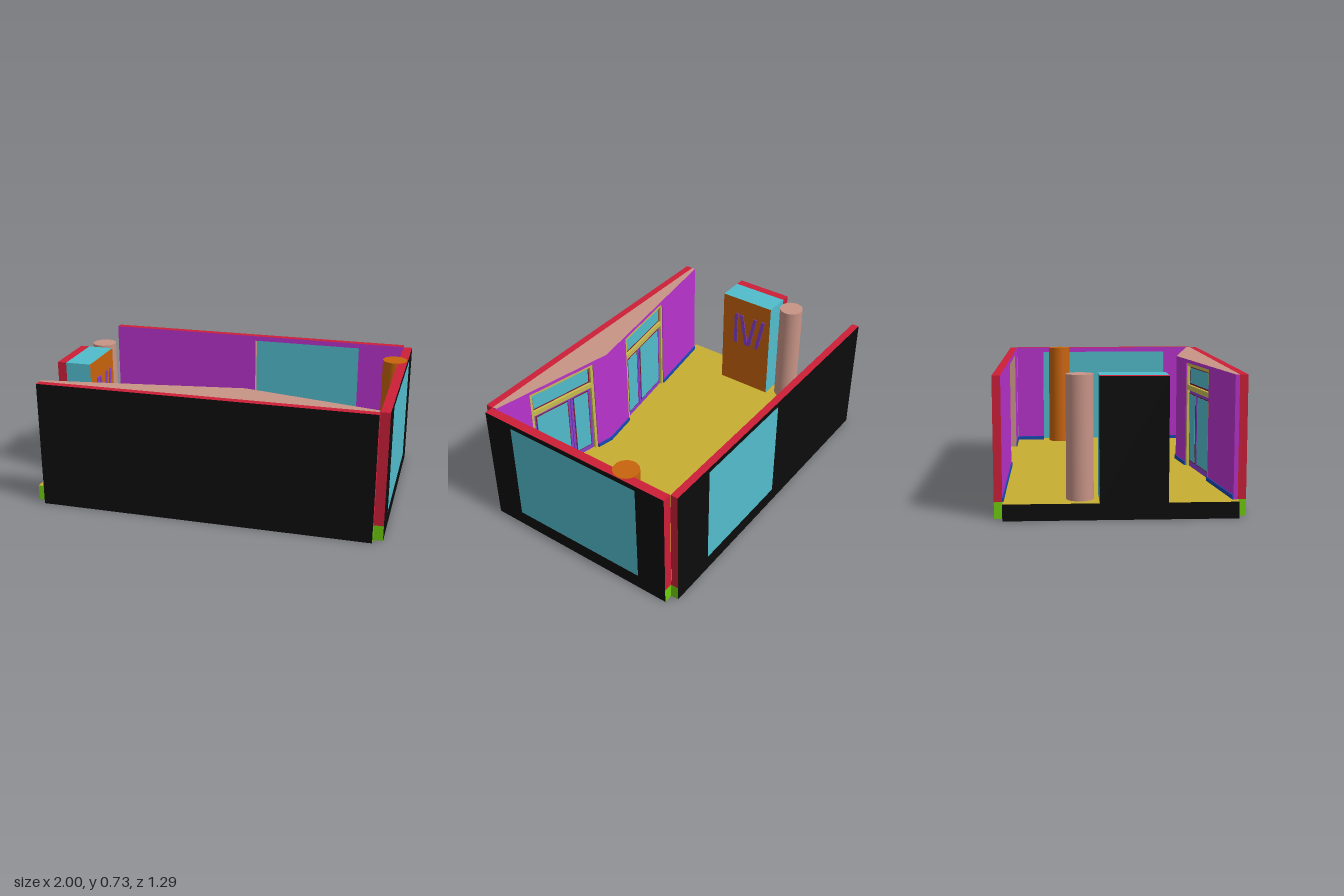
import * as THREE from 'three';

const mat = (color) => new THREE.MeshStandardMaterial({ color });
const M = {
  red: mat(0xcc1f38), black: mat(0x0c0c0c), green: mat(0x70cc0c), yellow: mat(0xc8ae32),
  cyan: mat(0x52bccc), pink: mat(0xc89486), purple: mat(0xb933cd), violet: mat(0x8840d0),
  orange: mat(0xc8640c), blue: mat(0x1848b0), olive: mat(0xc8bc50), maroon: mat(0x801c30),
};
const FLOOR = 0.087, TOP = 0.73, LINTEL = 0.70, DOOR_TOP = 0.71;

// Box given by its limits; m is one material or six (+x, -x, +y, -y, +z, -z)
function block(parent, name, x0, x1, y0, y1, z0, z1, m) {
  const mesh = new THREE.Mesh(new THREE.BoxGeometry(x1 - x0, y1 - y0, z1 - z0), m);
  mesh.position.set((x0 + x1) / 2, (y0 + y1) / 2, (z0 + z1) / 2);
  mesh.name = name;
  parent.add(mesh);
  return mesh;
}

// Wall on a base strip. Local x runs along it, the outer face is at local z = 0 facing +z.
function wall(name, { half, t, under, from = -half, to = half, window: win, skirting = true }) {
  const g = new THREE.Group();
  g.name = name;
  block(g, 'base', -half, half, 0, FLOOR, -t, 0,
    [M.green, M.green, M.yellow, under, M.black, M.green]);
  const piece = (a, b, y0, endA, endB) => block(g, 'wallPanel', a, b, y0, TOP, -t, 0,
    [endB, endA, M.red, M.pink, M.black, M.purple]);
  const skirt = (a, b) => skirting &&
    block(g, 'skirting', a, b, FLOOR, FLOOR + 0.022, -t - 0.006, -t, M.blue);
  if (!win) {
    piece(from, to, FLOOR, M.red, M.red);
    return g;
  }
  piece(from, win[0], FLOOR, M.red, M.pink);
  piece(win[1], to, FLOOR, M.pink, M.red);
  piece(win[0], win[1], LINTEL, M.red, M.red);
  skirt(from, win[0]);
  skirt(win[1], to);
  block(g, 'windowGlass', win[0], win[1], FLOOR, LINTEL, -0.006, 0, M.cyan);
  return g;
}

// Vertical prism over a floor plan of [x, z] points
function prism(parent, name, plan, y0, y1, capMat, sideMat) {
  const shape = new THREE.Shape(plan.map(([x, z]) => new THREE.Vector2(x, -z)));
  const geo = new THREE.ExtrudeGeometry(shape, { depth: y1 - y0, bevelEnabled: false });
  geo.rotateX(-Math.PI / 2);
  const mesh = new THREE.Mesh(geo, [capMat, sideMat]);
  mesh.position.y = y0;
  mesh.name = name;
  parent.add(mesh);
}

// Double door with transom; side = 1 puts the wide leaf towards local +x. Room side is -z.
function doubleDoor(w, side) {
  const g = new THREE.Group();
  g.name = 'doubleDoor';
  const h = w / 2, f = 0.018;
  // frame and transom
  for (const s of [-1, 1]) {
    const x = s * (h - f / 2);
    block(g, 'doorJamb', x - f / 2, x + f / 2, FLOOR, DOOR_TOP, 0, 0.04, M.olive);
  }
  block(g, 'frameHead', -h, h, DOOR_TOP - f, DOOR_TOP, 0, 0.04, M.olive);
  block(g, 'transomBar', -h, h, 0.55, 0.58, 0, 0.04, M.olive);
  block(g, 'transomSurround', -h + f, h - f, 0.58, DOOR_TOP - f, 0.016, 0.026, M.maroon);
  block(g, 'transomGlass', -h + f + 0.01, h - f - 0.01, 0.59, DOOR_TOP - f - 0.01, 0.014, 0.03, M.cyan);
  // one wide and one narrow glazed leaf
  const split = side * (-h + f + (w - 2 * f) * 0.36);
  for (const [a, b] of [[-h + f, split], [split, h - f]]) {
    block(g, 'doorLeaf', a + 0.002, b - 0.002, FLOOR, 0.55, 0.014, 0.034, M.violet);
    block(g, 'glassSurround', a + 0.018, b - 0.018, 0.12, 0.53, 0.012, 0.03, M.maroon);
    block(g, 'doorGlass', a + 0.024, b - 0.024, 0.126, 0.524, 0.010, 0.03, M.cyan);
  }
  return g;
}

function column(parent, name, x, z, m) {
  const mesh = new THREE.Mesh(new THREE.CylinderGeometry(0.071, 0.071, TOP + 0.002 - FLOOR, 40), m);
  mesh.position.set(x, (TOP + 0.002 + FLOOR) / 2, z);
  mesh.name = name;
  parent.add(mesh);
}

export function createModel() {
  const room = new THREE.Group();
  room.name = 'room';

  block(room, 'floor', -0.947, 0.947, 0, FLOOR, -0.602, 0.602,
    [M.green, M.green, M.yellow, M.green, M.green, M.green]);

  // Outer walls
  const front = wall('frontWall', { half: 0.947, t: 0.043, under: M.black });
  front.position.z = 0.643;
  const back = wall('backWall', { half: 0.947, t: 0.043, under: M.black, window: [-0.67, 0] });
  back.rotation.y = Math.PI;
  back.position.z = -0.645;
  const left = wall('leftWall', { half: 0.6, t: 0.053, under: M.orange, window: [-0.42, 0.42] });
  left.rotation.y = Math.PI / 2;
  left.position.x = 1;
  const right = wall('rightWallStub', { half: 0.6, t: 0.053, under: M.orange, from: -0.11, to: 0.24 });
  right.rotation.y = -Math.PI / 2;
  right.position.x = -1;
  room.add(front, back, left, right);
  block(room, 'outerDoorPanel', -0.49, -0.03, FLOOR, DOOR_TOP, 0.643, 0.646, M.black);

  // Angled inner lining of the front wall, with two door openings
  const apex = [0.19, 0.417], ends = [[-0.947, 0.578], [0.943, 0.575]];
  const lineZ = (x) => {
    const e = ends[x < apex[0] ? 0 : 1];
    return apex[1] + (e[1] - apex[1]) * (x - apex[0]) / (e[0] - apex[0]);
  };
  const plan = (a, b, zBack) => {
    const inner = [a, ...(a < apex[0] && b > apex[0] ? [apex[0]] : []), b];
    return [[a, zBack], [b, zBack], ...inner.reverse().map((x) => [x, lineZ(x)])];
  };
  for (const [a, b] of [[-0.947, -0.49], [-0.03, 0.29], [0.73, 0.943]]) {
    prism(room, 'angledLining', plan(a, b, 0.6), FLOOR, TOP, M.pink, M.purple);
    // skirting along its foot
    const pts = plan(a, b, 0.6).slice(2);
    const strip = [...pts, ...pts.map(([x, z]) => [x, z - 0.007]).reverse()];
    prism(room, 'liningSkirting', strip, FLOOR, FLOOR + 0.022, M.blue, M.blue);
  }
  for (const [a, b, side] of [[-0.49, -0.03, -1], [0.29, 0.73, 1]]) {
    prism(room, 'doorHeader', plan(a, b, 0.6), DOOR_TOP, TOP, M.pink, M.purple);
    const dx = b - a, dz = lineZ(b) - lineZ(a);
    const door = doubleDoor(Math.hypot(dx, dz), side);
    door.position.set((a + b) / 2, 0, (lineZ(a) + lineZ(b)) / 2 + 0.004);
    door.rotation.y = Math.atan2(-dz, dx);
    room.add(door);
  }

  // Display block against the stub, with slanted slats on its inner face
  block(room, 'displayBlock', -0.947, -0.795, FLOOR, TOP, -0.11, 0.24,
    [M.orange, M.cyan, M.cyan, M.cyan, M.cyan, M.cyan]);
  for (const [z, tilt] of [[0.14, 0], [0.08, 0.2], [0.02, -0.2], [-0.04, -0.2]]) {
    const slat = block(room, 'decorSlat', -0.795, -0.79, 0.4, 0.62, z - 0.012, z + 0.012, M.violet);
    slat.rotation.x = tilt;
  }

  column(room, 'pinkColumn', -0.883, -0.207, M.pink);
  column(room, 'orangeColumn', 0.925, -0.31, M.orange);
  return room;
}
